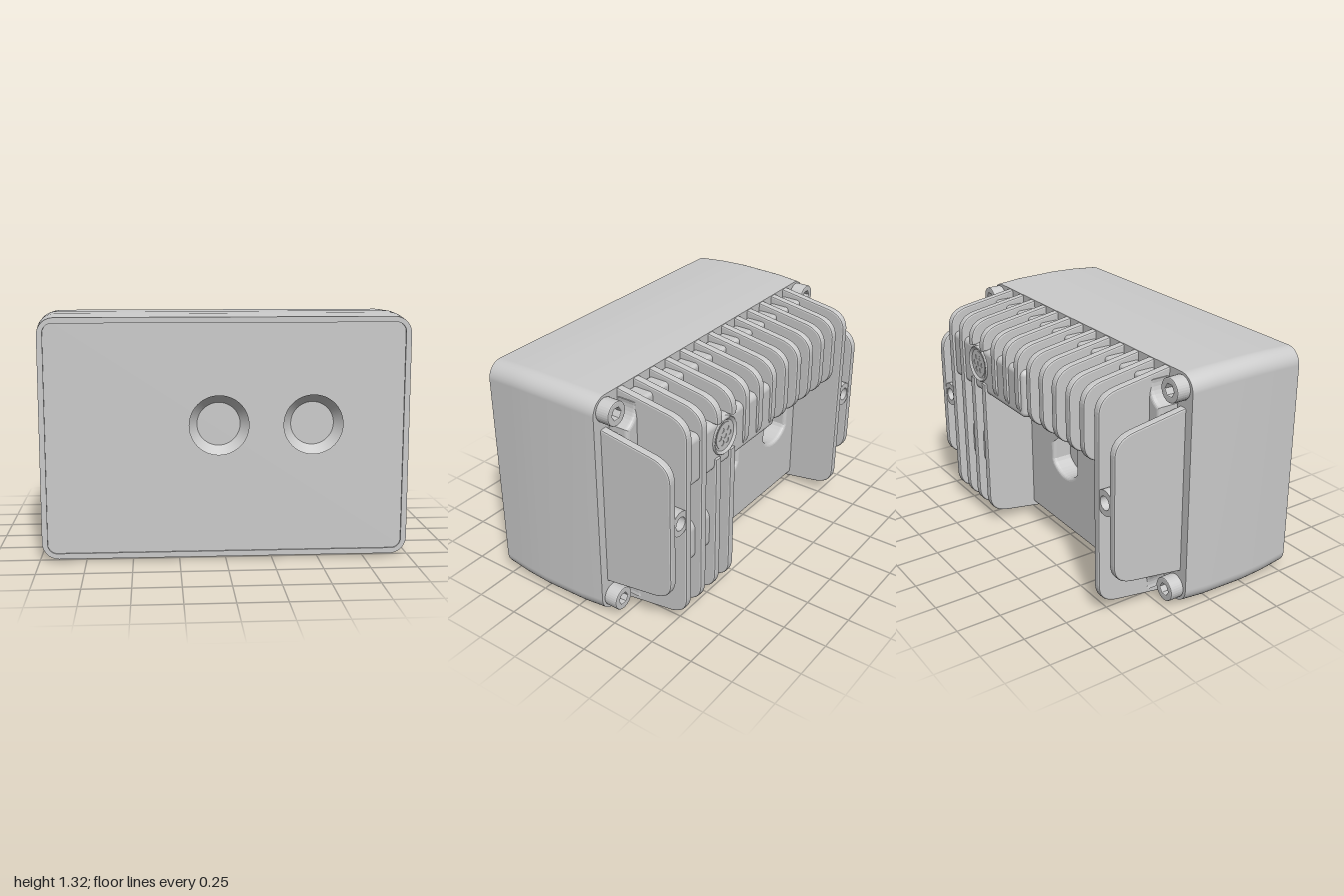
import * as THREE from 'three';
import { RoundedBoxGeometry } from 'three/addons/geometries/RoundedBoxGeometry.js';

const mat = new THREE.MeshStandardMaterial({ color: 0xcccccc });
const thin = new THREE.MeshStandardMaterial({ color: 0xcccccc, side: THREE.DoubleSide });
const V = (x, y) => new THREE.Vector2(x, y);
const MID = 0.66;

export function createModel() {
  const root = new THREE.Group();
  const add = (name, geo, x = 0, y = 0, z = 0, m = mat) => {
    const mesh = new THREE.Mesh(geo, m);
    mesh.name = name;
    mesh.position.set(x, y, z);
    root.add(mesh);
    return mesh;
  };
  const circle = (x, y, r, n = 32) => Array.from({ length: n }, (_, i) => {
    const a = (i / n) * Math.PI * 2;
    return V(x + r * Math.cos(a), y + r * Math.sin(a));
  });
  const plate = (outline, holes = []) => {
    const s = new THREE.Shape(outline);
    s.holes = holes.map(h => new THREE.Path(h));
    return s;
  };
  const extrude = (shape, depth, bevel = 0, seg = 2) => new THREE.ExtrudeGeometry(shape, {
    depth: depth - 2 * bevel, bevelEnabled: bevel > 0, bevelSize: bevel,
    bevelThickness: bevel, bevelOffset: -bevel, bevelSegments: seg, curveSegments: 10,
  }).translate(0, 0, bevel);

  // Main housing: rounded rectangle lofted front to back with a slight bulge
  const ring = (d, r = 0.09) => {
    const pts = [];
    [[1, -1], [1, 1], [-1, 1], [-1, -1]].forEach(([sx, sy], q) => {
      for (let i = 0; i <= 10; i++) {
        const a = (q - 1 + i / 10) * Math.PI / 2;
        pts.push(V(sx * (1 - d - r) + r * Math.cos(a), MID + sy * (MID - d - r) + r * Math.sin(a)));
      }
    });
    return pts;
  };
  const sections = [[-0.16, 0.013], [-0.02, 0.004], [0.24, 0], [0.38, 0.004], [0.54, 0.015]];
  const pos = [], idx = [], n = 44;
  sections.forEach(([z, d]) => ring(d).forEach(p => pos.push(p.x, p.y, z)));
  for (let i = 0; i < sections.length - 1; i++) {
    for (let j = 0; j < n - 1; j++) {
      const a = i * n + j, c = a + n;
      idx.push(a, a + 1, c, a + 1, c + 1, c);
    }
  }
  const shell = new THREE.BufferGeometry();
  shell.setAttribute('position', new THREE.Float32BufferAttribute(pos, 3));
  shell.setIndex(idx);
  shell.computeVertexNormals();
  add('housing', shell);

  // Underside strips, with a mounting socket and two pin holes
  const sockets = [[0, 0.11, 0.075, 1], [0.19, 0.31, 0.018, 2], [-0.19, 0.31, 0.018, 2]];
  for (let i = 0; i < sections.length - 1; i++) {
    const [z0, d0] = sections[i], [z1, d1] = sections[i + 1];
    const w0 = 0.91 - d0, w1 = 0.91 - d1;
    const g = new THREE.ShapeGeometry(plate([V(-w0, z0), V(w0, z0), V(w1, z1), V(-w1, z1)],
      sockets.filter(s => s[3] === i).map(([x, z, r]) => circle(x, z, r))));
    const p = g.attributes.position;
    for (let k = 0; k < p.count; k++) {
      const z = p.getY(k);
      p.setXYZ(k, p.getX(k), d0 + (d1 - d0) * (z - z0) / (z1 - z0), z);
    }
    g.computeVertexNormals();
    add('underside', g);
  }
  sockets.forEach(([x, z, r]) => {
    add('socketWall', new THREE.CylinderGeometry(r, r, 0.12, 32, 1, true), x, 0.062, z, thin);
    add('socketFloor', new THREE.CircleGeometry(r, 32).rotateX(Math.PI / 2), x, 0.12, z);
  });
  add('housingBack', new THREE.ShapeGeometry(plate(ring(0.013))).rotateY(Math.PI), 0, 0, -0.16);
  add('frontRim', extrude(plate(ring(0.015), [ring(0.045, 0.05)]), 0.02), 0, 0, 0.52);
  add('frontPanel', new THREE.ShapeGeometry(plate(ring(0.04, 0.05))), 0, 0, 0.531);

  // Flared lens hoods
  [-0.04, 0.46].forEach(x => {
    add('lensHood', new THREE.CylinderGeometry(0.16, 0.115, 0.054, 48, 1, true).rotateX(Math.PI / 2),
      x, 0.74, 0.558, thin);
  });

  // Heat sink base with scooped corners and two flat-sided ports
  const quarter = [];
  for (let i = 0; i <= 8; i++) {
    const a = 4.46 + (2.889 - 4.46) * i / 8;
    quarter.push(V(0.905 + 0.1 * Math.cos(a), 0.575 + 0.1 * Math.sin(a)));
  }
  const flip = (sx, sy, rev) => {
    const q = quarter.map(p => V(sx * p.x, MID + sy * p.y));
    return rev ? q.reverse() : q;
  };
  const base = [...flip(1, 1), ...flip(-1, 1, true), ...flip(-1, -1), ...flip(1, -1, true)];
  const port = x => circle(0, 0, 0.155, 40).map(p => V(x + Math.max(-0.12, Math.min(0.12, p.x)), 0.55 + p.y));
  add('heatSinkBase', extrude(plate(base, [port(0), port(-0.54)]), 0.125, 0.02, 4), 0, 0, -0.28);
  add('portConnector', extrude(plate(circle(0, 0, 0.07), [circle(0, 0, 0.045)]), 0.05), -0.54, 0.55, -0.21);

  // Fin profile: sloped top and bottom with rounded rear corners
  const finShape = (y0, y1, notch) => {
    const s = new THREE.Shape();
    s.moveTo(0.15, y0);
    s.lineTo(0.47, y0 + 0.05);
    s.quadraticCurveTo(0.58, y0 + 0.07, 0.58, y0 + 0.17);
    if (notch) {
      s.lineTo(0.58, notch[0]);
      s.lineTo(0.5, notch[0]);
      s.lineTo(0.5, notch[1]);
      s.lineTo(0.58, notch[1]);
    }
    s.lineTo(0.58, y1 - 0.17);
    s.quadraticCurveTo(0.58, y1 - 0.07, 0.47, y1 - 0.05);
    s.lineTo(0.15, y1);
    return s;
  };
  const fin = (name, x, y0, y1, notch) =>
    add(name, extrude(finShape(y0, y1, notch), 0.045, 0.009).rotateY(Math.PI / 2), x - 0.0225);

  const GX = 0.455, GY = 1.01;
  for (let i = -6; i <= 6; i++) {
    const x = i * 0.13;
    const long = i === -6 || i >= 3;
    const notch = i === 3 || i === 4 ? [GY - 0.1, GY + 0.1] : null;
    fin(long ? 'longFin' : 'shortFin', x, long ? 0.015 : 0.77, 1.305, notch);
  }

  // Inner housings showing between the fins
  add('upperBlock', new RoundedBoxGeometry(0.83, 0.28, 0.36, 4, 0.035), 0.365, 0.98, -0.385);
  add('lowerBlock', new RoundedBoxGeometry(0.34, 0.26, 0.32, 4, 0.06), 0.58, 0.47, -0.38);

  // Round dished grille
  const dish = [V(0.105, 0), V(0.105, 0.17), V(0.098, 0.178), V(0.07, 0.15)];
  add('grilleRim', new THREE.LatheGeometry(dish, 40).rotateX(-Math.PI / 2), GX, GY, -0.4, thin);
  const holes = [circle(0, 0, 0.014, 16)];
  for (let k = 0; k < 6; k++) {
    holes.push(circle(0.042 * Math.cos(k * Math.PI / 3), 0.042 * Math.sin(k * Math.PI / 3), 0.014, 16));
  }
  add('grillePlate', extrude(plate(circle(0, 0, 0.075, 40), holes), 0.02), GX, GY, -0.568);
  add('grilleBacking', new THREE.CircleGeometry(0.1, 32).rotateY(Math.PI), GX, GY, -0.547, thin);

  // Side wings, mounting bosses and socket-head corner screws
  [-1, 1].forEach(s => {
    fin('sideWing', s * 0.915, 0.2, 1.13);
    add('mountBoss', extrude(plate(circle(0, 0, 0.07), [circle(0, 0, 0.038)]), 0.415),
      s * 0.845, 0.69, -0.575);
    [0.1, 1.23].forEach(y => {
      add('screwHead', extrude(plate(circle(0, 0, 0.066), [circle(0, 0, 0.034, 6)]), 0.08, 0.006),
        s * 0.905, y, -0.24);
      add('screwSocketFloor', new THREE.CircleGeometry(0.045, 24).rotateY(Math.PI), s * 0.905, y, -0.195);
    });
  });
  return root;
}
